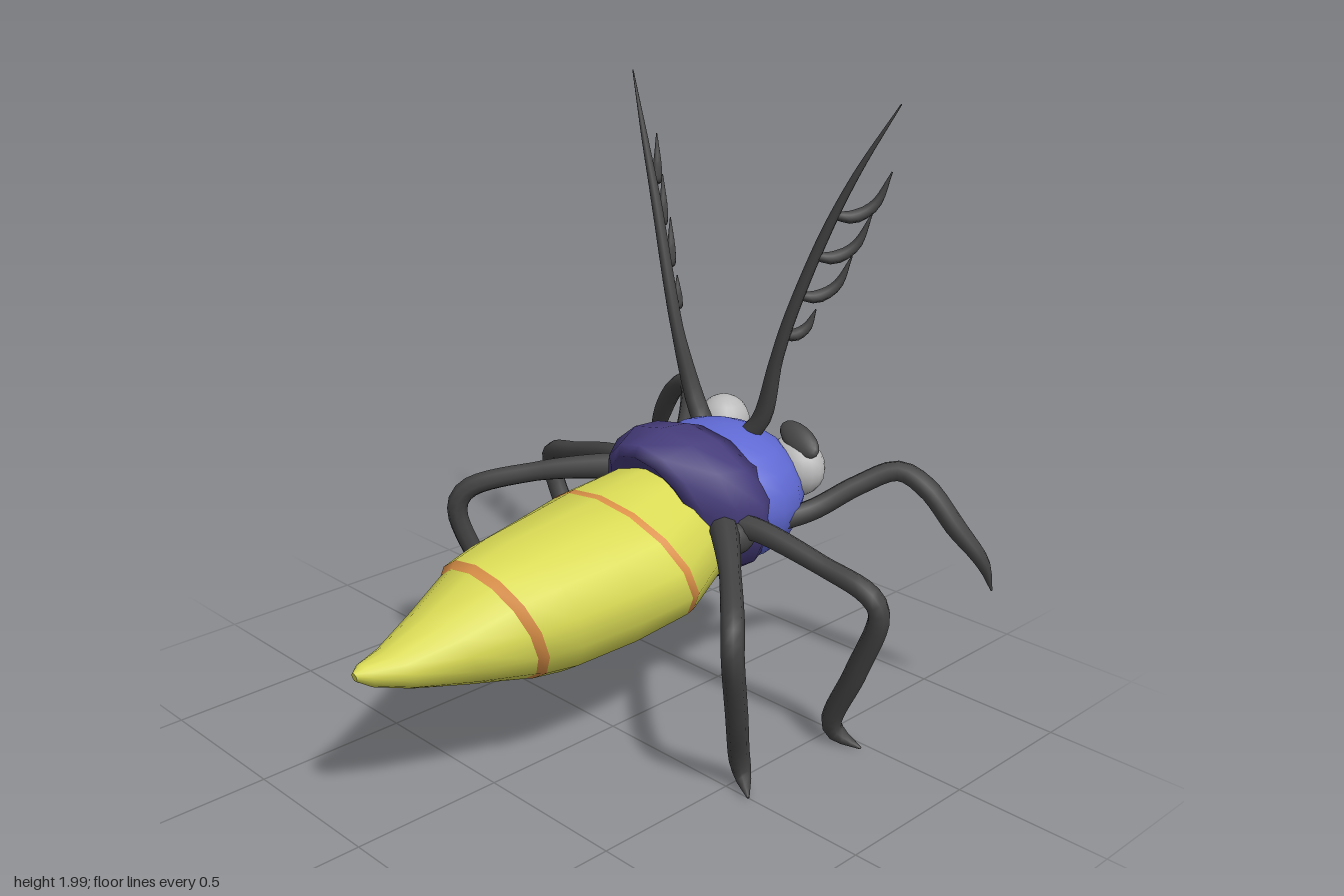
import * as THREE from 'three';

const mat = (name, color, side = THREE.FrontSide) => {
  const m = new THREE.MeshStandardMaterial({ color, side });
  m.name = name;
  return m;
};

// Skin a list of equal point rings; both ends are closed with a fan.
function skin(rings) {
  const n = rings[0].length, pos = [], idx = [];
  rings.forEach(r => r.forEach(p => pos.push(p.x, p.y, p.z)));
  for (let i = 0; i < rings.length - 1; i++)
    for (let j = 0; j < n; j++) {
      const a = i * n + j, b = i * n + (j + 1) % n;
      idx.push(a, a + n, b, b, a + n, b + n);
    }
  [0, rings.length - 1].forEach((r, end) => {
    const c = rings[r].reduce((s, p) => s.add(p), new THREE.Vector3()).divideScalar(n);
    const base = pos.length / 3;
    rings[r].forEach(p => pos.push(p.x, p.y, p.z));
    pos.push(c.x, c.y, c.z);
    for (let j = 0; j < n; j++) {
      const a = base + j, b = base + (j + 1) % n;
      if (end) idx.push(base + n, b, a); else idx.push(base + n, a, b);
    }
  });
  const g = new THREE.BufferGeometry();
  g.setAttribute('position', new THREE.Float32BufferAttribute(pos, 3));
  g.setIndex(idx);
  g.computeVertexNormals();
  return g;
}

// Tilted body ring from its top point, bottom point and half width.
function bodyRing([zt, yt, zb, yb, hw], cx, n = 14) {
  return Array.from({ length: n }, (_, j) => {
    const a = j / n * Math.PI * 2, k = (1 + Math.cos(a)) / 2;
    return new THREE.Vector3(cx + hw * Math.sin(a), yb + (yt - yb) * k, zb + (zt - zb) * k);
  });
}

// Round limb along points [x, y, z, radius].
function limb(pts, steps = 24, sides = 8) {
  const curve = new THREE.CatmullRomCurve3(pts.map(p => new THREE.Vector3(p[0], p[1], p[2])), false, 'centripetal');
  const { normals, binormals } = curve.computeFrenetFrames(steps);
  const rings = [];
  // Radii follow the control points, so sample by control parameter lengths.
  const lens = curve.getLengths(200), total = lens[200], last = pts.length - 1;
  const marks = pts.map((_, i) => lens[Math.round(i / last * 200)] / total);
  for (let i = 0; i <= steps; i++) {
    const u = i / steps, c = curve.getPointAt(u);
    let k = 0;
    while (k < last - 1 && u > marks[k + 1]) k++;
    const f = Math.min(1, (u - marks[k]) / (marks[k + 1] - marks[k]));
    const r = pts[k][3] + (pts[k + 1][3] - pts[k][3]) * f;
    rings.push(Array.from({ length: sides }, (_, j) => {
      const a = -j / sides * Math.PI * 2;
      return c.clone().addScaledVector(normals[i], r * Math.cos(a)).addScaledVector(binormals[i], r * Math.sin(a));
    }));
  }
  return skin(rings);
}

export function createModel() {
  const model = new THREE.Group();
  const yellow = mat('abdomen yellow', 0xd9da55);
  const orange = mat('band orange', 0xdb9048);
  const blue = mat('head blue', 0x5f69d2);
  const purple = mat('thorax purple', 0x453c7a);
  const dark = mat('limb charcoal', 0x434343, THREE.DoubleSide);
  const grey = mat('eye grey', 0xbababa);
  const add = (name, geo, m, parent = model) => {
    const mesh = new THREE.Mesh(geo, m);
    mesh.name = name;
    parent.add(mesh);
    return mesh;
  };
  const ball = (name, m, c, s) => {
    const b = add(name, new THREE.SphereGeometry(1, 18, 12), m);
    b.position.set(...c);
    b.scale.set(...s);
    return b;
  };

  // Abdomen in three segments separated by two thin bands
  const ab = [
    [-0.26, 0.86, -0.42, 0.52, 0.18], [-0.15, 0.85, -0.34, 0.44, 0.25],
    [0.03, 0.815, -0.17, 0.38, 0.315], [0.053, 0.81, -0.14, 0.37, 0.315],
    [0.2, 0.79, 0.08, 0.34, 0.295], [0.4, 0.765, 0.3, 0.33, 0.265],
    [0.53, 0.735, 0.4, 0.342, 0.238], [0.555, 0.715, 0.425, 0.347, 0.215],
    [0.7, 0.635, 0.62, 0.395, 0.155], [0.85, 0.572, 0.8, 0.442, 0.088],
    [0.94, 0.558, 0.92, 0.485, 0.042], [0.97, 0.542, 0.965, 0.515, 0.012]];
  [[0, 2, 'abdomenFront', yellow], [2, 3, 'frontBand', orange], [3, 6, 'abdomenMiddle', yellow],
    [6, 7, 'rearBand', orange], [7, 11, 'abdomenTip', yellow]].forEach(([a, b, name, m]) =>
    add(name, skin(ab.slice(a, b + 1).map(r => bodyRing(r, -0.02))), m));

  // Thorax collar
  const th = [
    [-0.36, 0.85, -0.45, 0.6, 0.2], [-0.4, 0.945, -0.5, 0.49, 0.29],
    [-0.33, 0.968, -0.42, 0.445, 0.31], [-0.22, 0.978, -0.34, 0.44, 0.29],
    [-0.12, 0.945, -0.3, 0.47, 0.22], [-0.1, 0.91, -0.29, 0.5, 0.18],
    [-0.16, 0.86, -0.28, 0.55, 0.12]];
  add('thorax', skin(th.map(r => bodyRing(r, -0.01))), purple);

  // Head, eyes and brow patch
  ball('head', blue, [0, 0.71, -0.47], [0.3, 0.235, 0.27]);
  ball('rightEye', grey, [-0.15, 0.865, -0.66], [0.088, 0.092, 0.09]);
  ball('leftEye', grey, [0.165, 0.785, -0.665], [0.11, 0.1, 0.087]);
  const brow = ball('leftBrow', dark, [0.19, 0.885, -0.655], [0.085, 0.022, 0.045]);
  brow.rotation.set(0.75, -0.35, -0.3);

  // Zigzag jaws
  const jaw = new THREE.Shape();
  jaw.moveTo(-0.1, 0.025);
  for (let i = 0; i <= 6; i++) jaw.lineTo(-0.09 + i * 0.03, i % 2 ? -0.035 : 0.005);
  jaw.lineTo(0.1, 0.025);
  for (let i = 6; i >= 0; i--) jaw.lineTo(-0.09 + i * 0.03, i % 2 ? 0 : 0.035);
  const jaws = add('jaws', new THREE.ExtrudeGeometry(jaw, { depth: 0.04, bevelEnabled: false }), dark);
  jaws.position.set(-0.01, 0.7, -0.755);

  for (const s of [-1, 1]) {
    const side = s > 0 ? 'left' : 'right';
    // Feathered antenna
    const antenna = new THREE.Group();
    antenna.name = side + 'Antenna';
    model.add(antenna);
    const X = x => s * x - 0.025;
    const stem = [
      [X(0.1), 0.9, -0.53, 0.035], [X(0.15), 0.97, -0.54, 0.032], [X(0.215), 1.18, -0.525, 0.021],
      [X(0.262), 1.33, -0.53, 0.02], [X(0.36), 1.6, -0.56, 0.017], [X(0.445), 1.79, -0.59, 0.011],
      [X(0.555), 2.0, -0.64, 0.002]];
    add('antennaStem', limb(stem, 30), dark, antenna);
    [[0.235, 1.27, -0.53, 0.6], [0.285, 1.4, -0.54, 0.95], [0.335, 1.53, -0.55, 1], [0.385, 1.66, -0.57, 1]]
      .forEach(([x, y, z, k]) => add('antennaBarb', limb([
        [X(x), y, z, 0.012], [X(x + 0.035 * k), y - 0.005, z - 0.05 * k, 0.022],
        [X(x + 0.075 * k), y + 0.03 * k, z - 0.095 * k, 0.017],
        [X(x + 0.11 * k), y + 0.13 * k, z - 0.125 * k, 0.002]], 10, 6), dark, antenna));

    // Legs: the left side sits a little lower than the right
    const h = s > 0 ? 0 : 0.08;
    add(side + 'FrontLeg', limb([
      [s * 0.2, 0.65 + h / 2, -0.42, 0.04], [s * 0.29, 0.68 + h, -0.6, 0.036],
      [s * 0.38, 0.76 + h, -0.73, 0.034], [s * 0.47, 0.81 + h, -0.82, 0.034],
      [s * 0.56, 0.77 + h, -0.85, 0.035], [s * 0.66, 0.65 + h, -0.885, 0.034],
      [s * 0.74, 0.54 + h / 2, -0.93, 0.024], [s * 0.76, 0.44, -0.962, 0.003]], 32), dark);
    add(side + 'MiddleLeg', limb([
      [s * 0.22, 0.7 + h, -0.3, 0.045], [s * 0.32, 0.7 + h, -0.32, 0.038],
      [s * 0.55, 0.645 + h, -0.355, 0.032], [s * 0.71, 0.595 + h, -0.38, 0.035],
      [s * 0.74, 0.54 + h, -0.395, 0.034], [s * 0.65, 0.3 + h, -0.415, 0.036],
      [s * 0.55, 0.08 + h, -0.435, 0.034], [s * 0.56, 0.04 + h, -0.45, 0.03],
      [s * 0.645, 0.01 + h, -0.47, 0.004]], 40), dark);
    add(side + 'HindLeg', limb([
      [s * 0.18, 0.7 + h, -0.3, 0.05], [s * 0.27, 0.7 + h, -0.22, 0.045],
      [s * 0.44, 0.675 + h, -0.06, 0.033], [s * 0.6, 0.61 + h, 0.1, 0.035],
      [s * 0.625, 0.54 + h, 0.125, 0.034], [s * 0.58, 0.3 + h, 0.05, 0.034],
      [s * 0.53, 0.1 + h, -0.025, 0.033], [s * 0.54, 0.05 + h, -0.03, 0.028],
      [s * 0.6, 0.015 + h, 0.01, 0.004]], 40), dark);
    // Hip joint
    ball(side + 'Hip', dark, [s * 0.26, 0.67 + h, -0.28], [0.05, 0.055, 0.075]);
  }
  return model;
}
